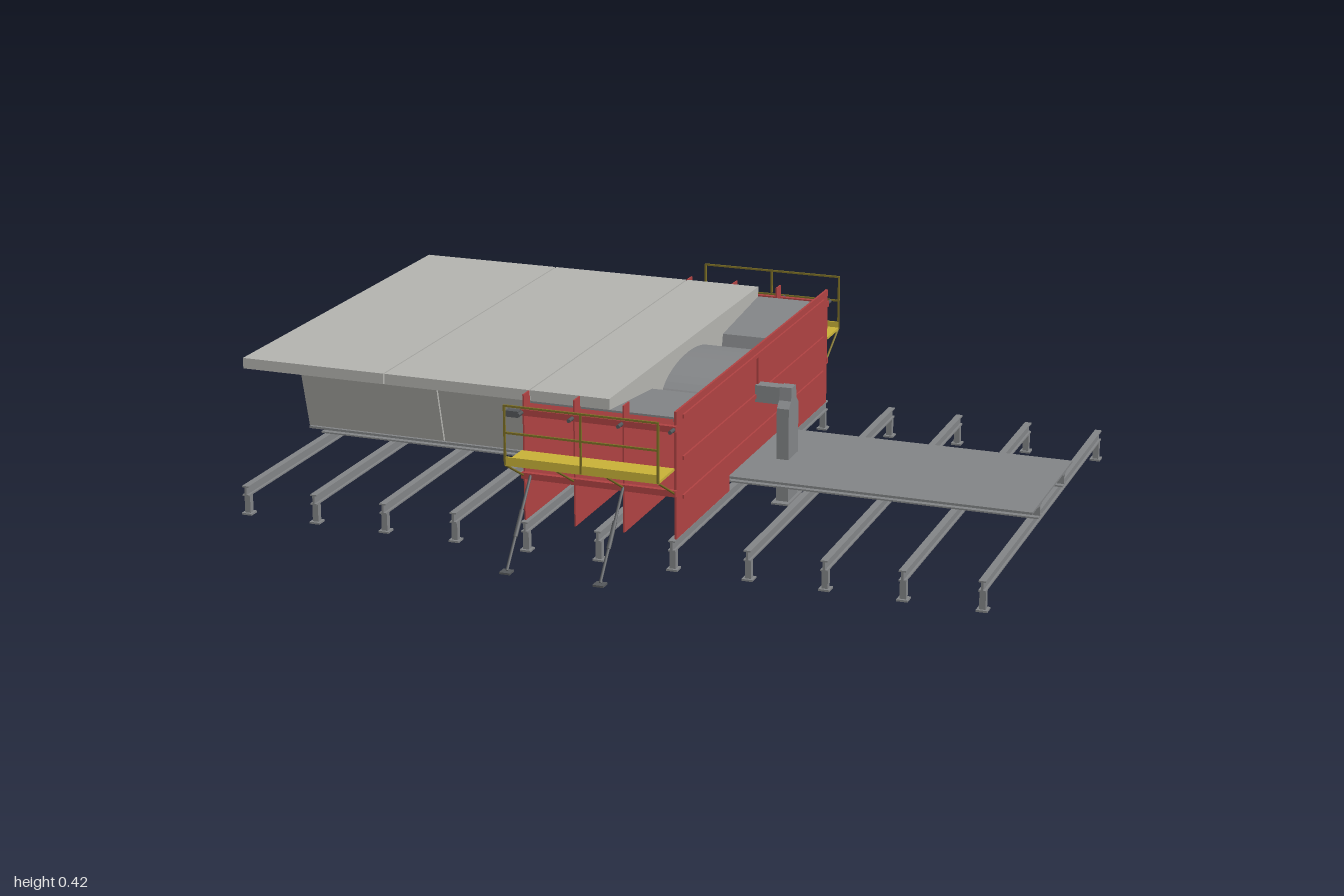
import * as THREE from 'three';

const mat = (name, color, side = THREE.FrontSide) => {
  const m = new THREE.MeshStandardMaterial({ color, side });
  m.name = name;
  return m;
};

export function createModel() {
  const root = new THREE.Group();
  root.name = 'girderCastingBed';
  const concrete = mat('concrete', 0xb4b4b0);
  const red = mat('redSteel', 0xb04242);
  const steel = mat('greySteel', 0x838587);
  const dark = mat('darkSteel', 0x55585b);
  const yellow = mat('yellowDeck', 0xc9b238);
  const olive = mat('railPaint', 0x7d7026);

  const add = (name, geo, m, parent = root) => {
    const mesh = new THREE.Mesh(geo, m);
    mesh.name = name;
    parent.add(mesh);
    return mesh;
  };
  // box given by its min and max corners
  const box = (name, m, x0, x1, y0, y1, z0, z1, parent) => {
    const b = add(name, new THREE.BoxGeometry(x1 - x0, y1 - y0, Math.abs(z1 - z0)), m, parent);
    b.position.set((x0 + x1) / 2, (y0 + y1) / 2, (z0 + z1) / 2);
    return b;
  };
  // cross-section given as [z, y], pushed from x0 to x1
  const section = (name, m, pts, x0, x1, parent) => {
    const shape = new THREE.Shape(pts.map(([z, y]) => new THREE.Vector2(-z, y)));
    const geo = new THREE.ExtrudeGeometry(shape, { depth: x1 - x0, bevelEnabled: false });
    geo.rotateY(Math.PI / 2).translate(x0, 0, 0);
    return add(name, geo, m, parent);
  };
  // round bar between two points
  const bar = (name, m, a, b, r, parent) => {
    const A = new THREE.Vector3(...a), B = new THREE.Vector3(...b);
    const d = B.clone().sub(A);
    const mesh = add(name, new THREE.CylinderGeometry(r, r, d.length(), 8), m, parent);
    mesh.position.copy(A).add(B).multiplyScalar(0.5);
    mesh.quaternion.setFromUnitVectors(new THREE.Vector3(0, 1, 0), d.normalize());
    return mesh;
  };
  const sides = [1, -1];

  // girder segments: wide deck over a tapered box
  const half = [[0.212, 0.122], [0.268, 0.35], [0.56, 0.38], [0.56, 0.408]];
  const girder = [...half, ...half.map(([z, y]) => [-z, y]).reverse()];
  [[-1, -0.602], [-0.598, -0.202], [-0.198, 0.013]].forEach(([a, b], i) =>
    section('girderSegment' + (i + 1), concrete, girder, a, b));

  // outer form skin under the wings and along the webs
  const t = 0.005;
  for (const s of sides) {
    section('outerForm', steel, [
      [0.212, 0.12], [0.268, 0.35], [0.56, 0.38],
      [0.56, 0.38 - t], [0.268 + t, 0.35 - t], [0.212 + t, 0.12],
    ].map(([z, y]) => [z * s, y]), -0.198, 0.198);
  }

  // arched inner core of the open segment
  const core = [[0.16, 0.14], [0.205, 0.3]];
  for (let i = 1; i < 16; i++) {
    const a = (i / 16) * Math.PI;
    core.push([0.205 * Math.cos(a), 0.3 + 0.075 * Math.sin(a)]);
  }
  core.push([-0.205, 0.3], [-0.16, 0.14]);
  section('innerCore', steel, core, 0.013, 0.198);

  // red ribs holding the side forms
  for (const s of sides) {
    for (const x of [-0.2, -0.065, 0.065]) {
      section('formRib', red, [
        [0.215, 0.08], [0.6, 0.08], [0.6, 0.408], [0.563, 0.408],
        [0.563, 0.374], [0.275, 0.344], [0.22, 0.12],
      ].map(([z, y]) => [z * s, y]), x - 0.002, x + 0.002);
    }
    // lengthwise walers on the rib ends
    for (const y of [0.2, 0.365]) {
      box('sideWaler', red, -0.205, 0.205, y - 0.008, y + 0.008, s * 0.597, s * 0.61);
    }
    for (const x of [-0.2, -0.065, 0.065, 0.2]) {
      bar('formTie', dark, [x, 0.365, s * 0.605], [x, 0.365, s * 0.635], 0.005);
    }
    box('sideJack', dark, -0.235, -0.2, 0.357, 0.373, s * 0.612, s * 0.632);
  }

  // end bulkhead with its stiffeners
  section('bulkhead', red, [
    [0.6, 0.08], [0.6, 0.408], [-0.6, 0.408], [-0.6, 0.08],
    [-0.212, 0.08], [-0.212, 0.122], [0.212, 0.122], [0.212, 0.08],
  ], 0.198, 0.204);
  for (const y of [0.178, 0.278, 0.385]) {
    box('bulkheadWaler', red, 0.204, 0.209, y - 0.005, y + 0.005, -0.56, 0.56);
  }
  box('bulkheadRib', red, 0.204, 0.209, 0.3, 0.39, -0.006, 0.006);

  // bed plate and its two long I-beams
  box('bedPlate', steel, -1, 1, 0.114, 0.12, -0.215, 0.215);
  for (const s of sides) {
    box('bedBeamWeb', steel, -1, 1, 0.08, 0.114, s * 0.127, s * 0.133);
    box('bedBeamFlange', steel, -1, 1, 0.08, 0.084, s * 0.112, s * 0.148);
    box('bedBeamFlange', steel, -1, 1, 0.11, 0.114, s * 0.112, s * 0.148);
  }

  // cross beams on short legs
  for (let i = 0; i < 11; i++) {
    const x = -0.98 + i * 0.196;
    const g = new THREE.Group();
    g.name = 'crossBeam' + (i + 1);
    root.add(g);
    box('beamTop', steel, x - 0.009, x + 0.009, 0.076, 0.08, -0.615, 0.615, g);
    box('beamWeb', steel, x - 0.003, x + 0.003, 0.056, 0.076, -0.615, 0.615, g);
    box('beamBottom', steel, x - 0.009, x + 0.009, 0.052, 0.056, -0.615, 0.615, g);
    for (const s of sides) {
      box('leg', steel, x - 0.008, x + 0.008, 0.005, 0.052, s * 0.591, s * 0.607, g);
      box('foot', steel, x - 0.014, x + 0.014, 0, 0.005, s * 0.584, s * 0.614, g);
    }
  }

  // support column with an arm to the bulkhead, and one column under the bed
  section('column', steel, [
    [0.04, 0], [0.04, 0.258], [0.022, 0.275], [0.018, 0.31],
    [-0.018, 0.31], [-0.022, 0.275], [-0.04, 0.258], [-0.04, 0],
  ], 0.272, 0.305);
  box('columnArm', steel, 0.204, 0.275, 0.262, 0.308, -0.018, 0.018);
  box('columnFoot', steel, 0.265, 0.312, 0, 0.005, -0.06, 0.06);
  box('rearColumn', steel, -0.308, -0.275, 0, 0.114, -0.04, 0.04);
  box('rearColumnFoot', steel, -0.315, -0.268, 0, 0.005, -0.06, 0.06);

  // side walkways with railing, brackets and raking props
  for (const s of sides) {
    const g = new THREE.Group();
    g.name = s > 0 ? 'frontWalkway' : 'backWalkway';
    root.add(g);
    box('walkwayDeck', yellow, -0.202, 0.202, 0.26, 0.267, s * 0.61, s * 0.716, g);
    box('toeBoard', yellow, -0.202, 0.202, 0.262, 0.283, s * 0.712, s * 0.717, g);
    for (const x of [-0.2, 0, 0.2]) {
      box('railPost', olive, x - 0.0025, x + 0.0025, 0.262, 0.416, s * 0.713, s * 0.718, g);
    }
    for (const y of [0.345, 0.414]) {
      box('rail', olive, -0.202, 0.202, y - 0.0025, y + 0.0025, s * 0.713, s * 0.718, g);
    }
    for (const x of [-0.2, -0.065, 0.065, 0.2]) {
      bar('bracket', olive, [x, 0.2, s * 0.605], [x, 0.26, s * 0.712], 0.003, g);
    }
    for (const x of [-0.18, 0.067]) {
      bar('prop', dark, [x, 0.205, s * 0.605], [x, 0.006, s * 0.762], 0.004, g);
      bar('propSleeve', dark, [x, 0.13, s * 0.664], [x, 0.075, s * 0.707], 0.006, g);
      box('propFoot', dark, x - 0.014, x + 0.014, 0, 0.005, s * 0.75, s * 0.778, g);
    }
  }
  return root;
}
